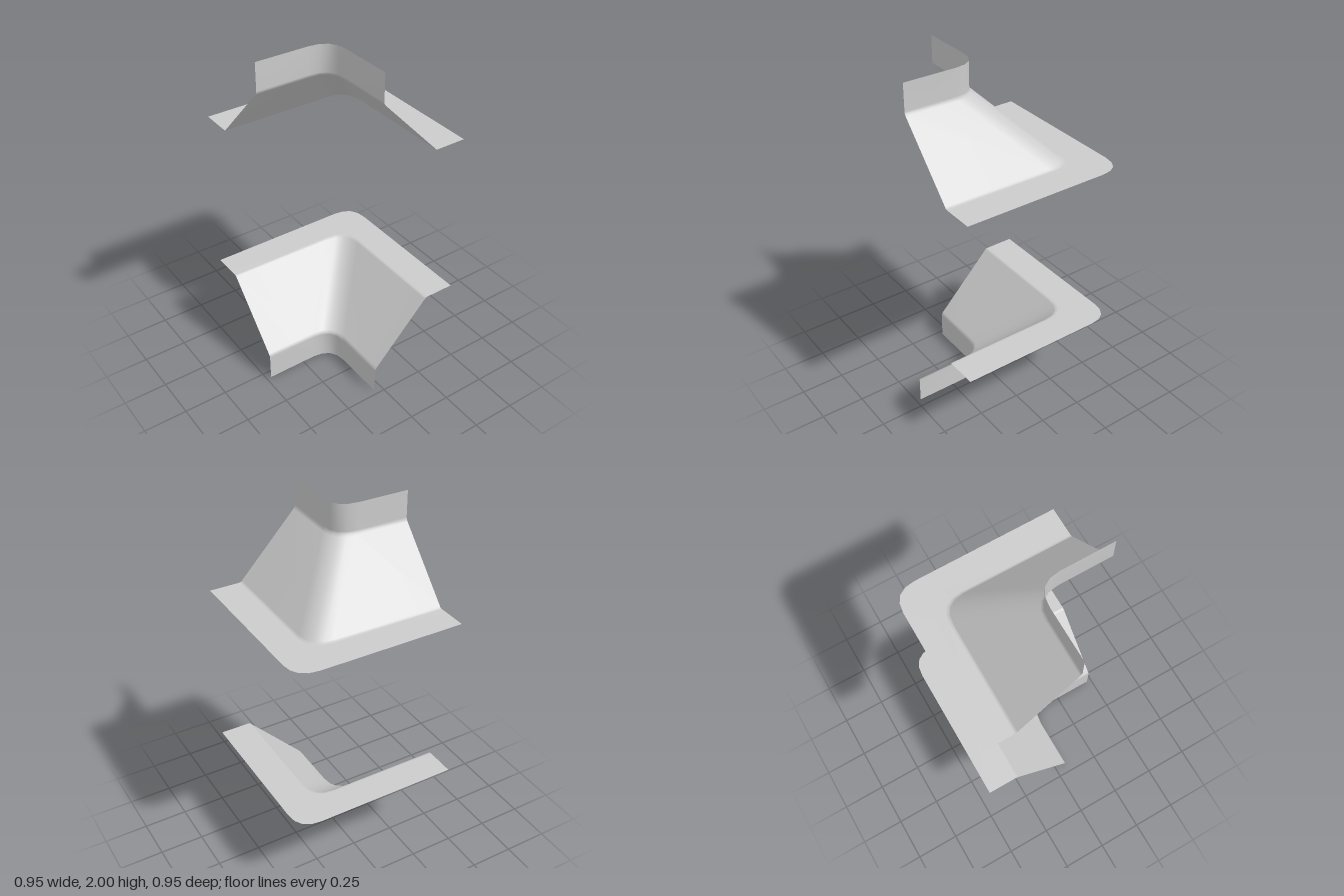
import * as THREE from 'three';

const END = 0.473;    // open ends of both arms
const CORNER = 0.13;  // length of the rounded corner on each arm
const SEGMENTS = 4;

// Profile from the upright lip, down the slope, out along the flat flange:
// [outward offset, height above the mid plane]
const PROFILE = [
  [0, 1], [0, 0.85], [0.003, 0.838], [0.011, 0.827],
  [0.334, 0.486], [0.34, 0.479], [0.352, 0.477], [0.522, 0.477],
];

// L-shaped plan path whose corner is shifted diagonally by the offset
function planPath(offset) {
  const x = -0.048 + offset, z = 0.046 - offset;
  const bend = new THREE.QuadraticBezierCurve(
    new THREE.Vector2(x - CORNER, z),
    new THREE.Vector2(x, z),
    new THREE.Vector2(x, z + CORNER),
  );
  return [new THREE.Vector2(-END, z), ...bend.getPoints(SEGMENTS), new THREE.Vector2(x, END)];
}

// Sweep the profile round the corner; side = 1 for upper, -1 for mirrored lower
function cornerGeometry(side) {
  const positions = [], indices = [];
  const n = SEGMENTS + 3;
  PROFILE.forEach(([offset, height], j) => {
    planPath(offset).forEach((p, i) => {
      positions.push(p.x, 1 + side * height, p.y);
      if (j === PROFILE.length - 1 || i === n - 1) return;
      const a = j * n + i, b = a + 1, c = a + n, d = c + 1;
      if (side > 0) indices.push(a, b, c, b, d, c);
      else indices.push(a, c, b, b, c, d);
    });
  });
  const geometry = new THREE.BufferGeometry();
  geometry.setAttribute('position', new THREE.Float32BufferAttribute(positions, 3));
  geometry.setIndex(indices);
  geometry.computeVertexNormals();
  return geometry;
}

export function createModel() {
  const model = new THREE.Group();
  model.name = 'cornerTrim';
  const material = new THREE.MeshStandardMaterial({ color: 0xcccccc, side: THREE.DoubleSide });
  for (const [name, side] of [['upperCorner', 1], ['lowerCorner', -1]]) {
    const mesh = new THREE.Mesh(cornerGeometry(side), material);
    mesh.name = name;
    model.add(mesh);
  }
  return model;
}
